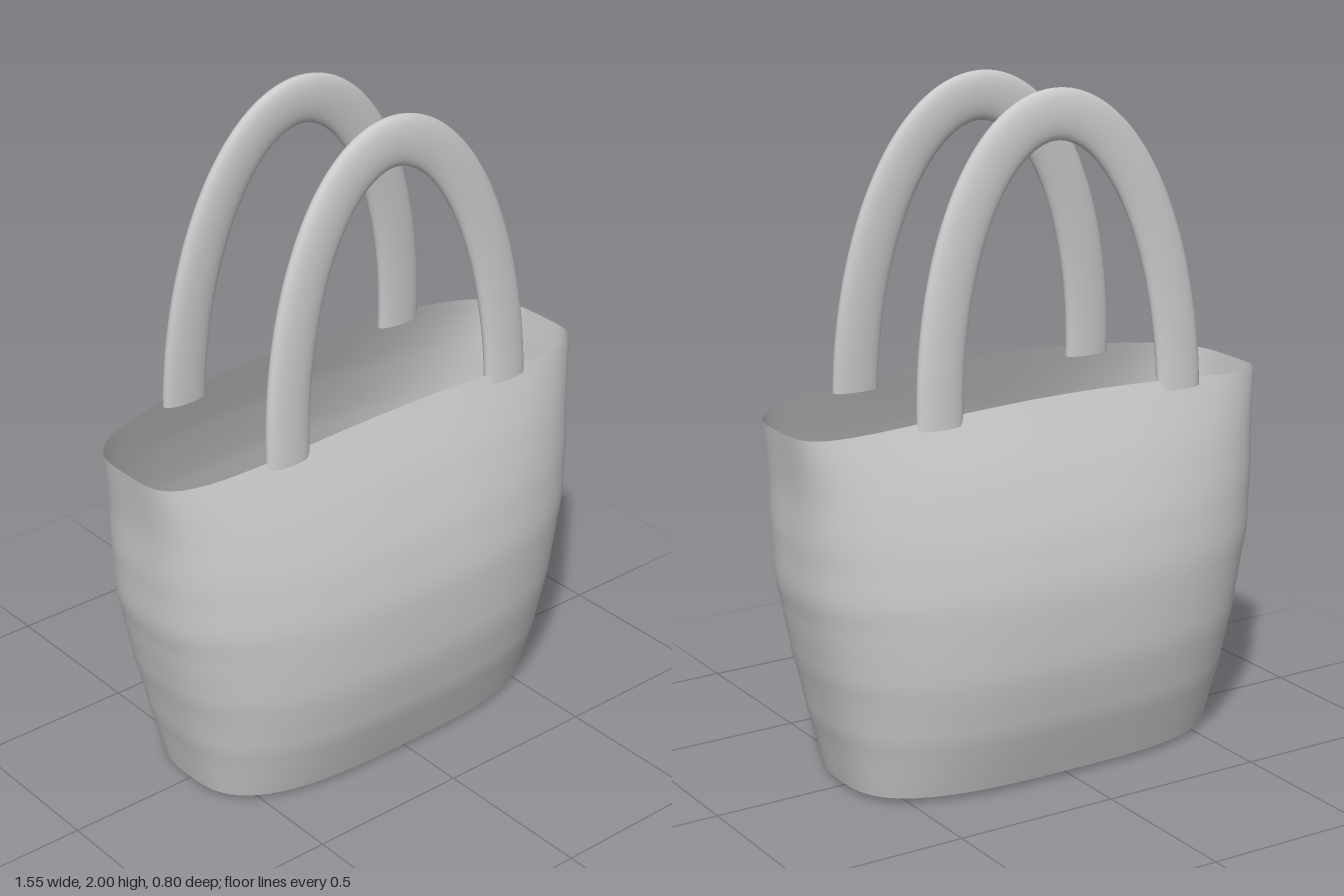
import * as THREE from 'three';

const material = new THREE.MeshStandardMaterial({ color: 0xcccccc, side: THREE.DoubleSide });

// Skin a list of closed rings (arrays of Vector3) into a smooth surface.
function loft(rings) {
  const n = rings[0].length;
  const index = [];
  for (let i = 0; i < rings.length - 1; i++) {
    for (let j = 0; j < n; j++) {
      const a = i * n + j, b = i * n + (j + 1) % n;
      index.push(a, a + n, b, b, a + n, b + n);
    }
  }
  const geometry = new THREE.BufferGeometry().setFromPoints(rings.flat());
  geometry.setIndex(index);
  geometry.computeVertexNormals();
  return geometry;
}

// Fan that closes a ring; flip it for the far end of a loft.
function cap(ring, centre, flip = false) {
  const index = [];
  const n = ring.length;
  for (let j = 0; j < n; j++) {
    const k = (j + 1) % n;
    index.push(n, flip ? k : j, flip ? j : k);
  }
  const geometry = new THREE.BufferGeometry().setFromPoints([...ring, centre]);
  geometry.setIndex(index);
  geometry.computeVertexNormals();
  return geometry;
}

function part(name, geometry) {
  const mesh = new THREE.Mesh(geometry, material);
  mesh.name = name;
  return mesh;
}

// Bag body: half width, half depth and squareness at even steps of height.
const profile = new THREE.CatmullRomCurve3([
  [0.605, 0.29, 3], [0.652, 0.357, 2.7], [0.695, 0.393, 2.6], [0.73, 0.398, 2.6],
  [0.75, 0.372, 2.8], [0.755, 0.318, 3.3], [0.775, 0.248, 4],
].map((p) => new THREE.Vector3(...p)));

const BASE = 0.016;

function bodyRing(v, segments = 96) {
  const { x: halfX, y: halfZ, z: power } = profile.getPoint(v);
  return Array.from({ length: segments }, (_, j) => {
    const t = (j / segments) * Math.PI * 2;
    const c = Math.cos(t), s = Math.sin(t);
    const r = (Math.abs(c) ** power + Math.abs(s) ** power) ** (-1 / power);
    // The rim rises gently from the ends to the middle
    const rim = 1.09 + 0.05 * (1 - (r * c) ** 2);
    return new THREE.Vector3(halfX * r * c, BASE + v * (rim - BASE), halfZ * r * s);
  });
}

// Handle: flattened oval section swept along a half ellipse, leaning inwards.
function handle(name, side) {
  const rings = [], centres = [];
  const steps = 64, segments = 24;
  for (let i = 0; i <= steps; i++) {
    const a = (i / steps) * Math.PI;
    const centre = new THREE.Vector3(0.402 * Math.cos(a), 1.1 + 0.828 * Math.sin(a), 0);
    const normal = new THREE.Vector3(0.828 * Math.cos(a), 0.402 * Math.sin(a), 0).normalize();
    const lean = (p) => { p.z += side * (0.238 - 0.041 * (p.y - 1.1) / 0.9); return p; };
    rings.push(Array.from({ length: segments }, (_, j) => {
      const t = (j / segments) * Math.PI * 2;
      const p = centre.clone().addScaledVector(normal, 0.073 * Math.cos(t));
      p.z += 0.027 * Math.sign(Math.sin(t)) * Math.abs(Math.sin(t)) ** 0.85;
      return lean(p);
    }));
    centres.push(lean(centre.clone()));
  }
  const group = new THREE.Group();
  group.name = name;
  group.add(
    part('handleStrap', loft(rings)),
    part('handleEndLeft', cap(rings[0], centres[0])),
    part('handleEndRight', cap(rings[steps], centres[steps], true)),
  );
  return group;
}

export function createModel() {
  const model = new THREE.Group();
  model.name = 'handbag';

  // Open shell and its slightly domed base
  const rings = Array.from({ length: 37 }, (_, i) => bodyRing(i / 36));
  model.add(part('bagBody', loft(rings)));
  model.add(part('bagBase', cap(rings[0], new THREE.Vector3(0, 0, 0))));

  // Pair of carrying handles
  model.add(handle('frontHandle', 1), handle('backHandle', -1));
  return model;
}
